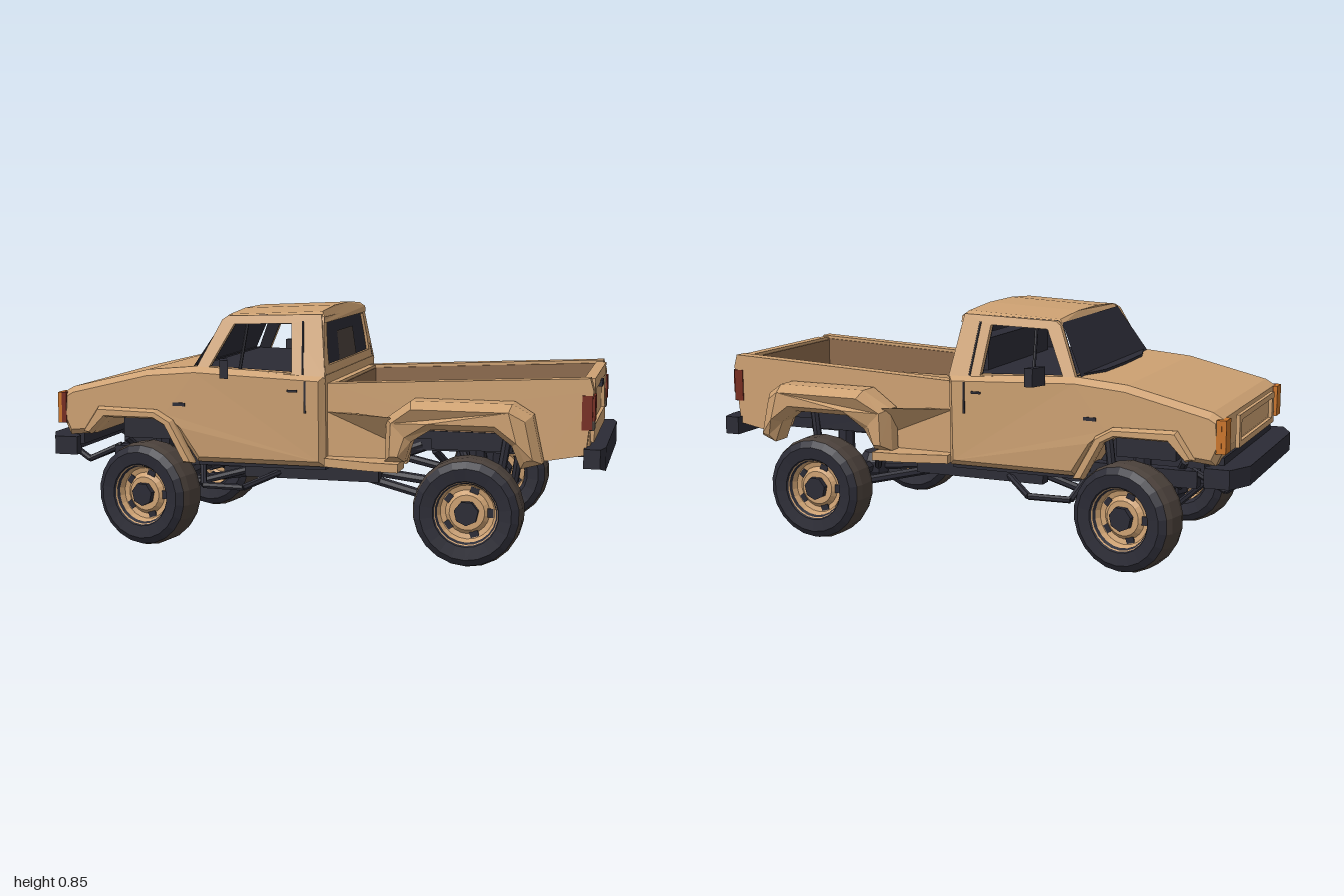
import * as THREE from 'three';

const mat = (name, color, side = THREE.FrontSide) =>
  Object.assign(new THREE.MeshStandardMaterial({ color, flatShading: true, side }), { name });
const V = (p) => new THREE.Vector3(...p);

export function createModel() {
  const truck = new THREE.Group();
  truck.name = 'pickupTruck';
  const tan = mat('tan paint', 0xcda172, THREE.DoubleSide);
  const dark = mat('dark trim', 0x2b2b35, THREE.DoubleSide);
  const brown = mat('bed brown', 0x8c6a4c);
  const tread = mat('tread brown', 0x4b413b, THREE.DoubleSide);
  const red = mat('lamp red', 0x762c20);
  const grey = mat('lamp grey', 0x6c625a);
  const orange = mat('marker orange', 0xc8742a);

  const add = (name, geo, material, parent = truck) => {
    const m = Object.assign(new THREE.Mesh(geo, material), { name });
    parent.add(m);
    return m;
  };
  const warpBy = (geo, fn) => {
    const p = geo.attributes.position;
    for (let i = 0; i < p.count; i++) {
      const v = new THREE.Vector3().fromBufferAttribute(p, i);
      fn(v);
      p.setXYZ(i, v.x, v.y, v.z);
    }
    return geo;
  };
  const outline = (pts) => pts.map(([a, b]) => new THREE.Vector2(a, b));
  // Extrusion of an outline from depth a to depth b, with optional hole and chamfer
  const prism = (pts, a, b, { hole, bevel = 0, thick = bevel } = {}) => {
    const s = new THREE.Shape(outline(pts));
    if (hole) s.holes.push(new THREE.Path(outline(hole)));
    return new THREE.ExtrudeGeometry(s, { depth: b - a - 2 * thick, bevelEnabled: bevel > 0, bevelSize: bevel,
      bevelThickness: thick, bevelOffset: -bevel, bevelSegments: 1 }).translate(0, 0, a + thick);
  };
  // Outline in x,z raised from y0 to y1
  const slab = (pts, y0, y1) => prism(pts, 0, y1 - y0).rotateX(Math.PI / 2).translate(0, y1, 0);
  // Outline in z,y run along x
  const across = (pts, x0, x1, o) => prism(pts.map(([z, y]) => [-z, y]), x0, x1, o).rotateY(Math.PI / 2);
  const box = (name, m, x0, x1, y0, y1, z0, z1) => add(name, new THREE.BoxGeometry(x1 - x0, y1 - y0, z1 - z0)
    .translate((x0 + x1) / 2, (y0 + y1) / 2, (z0 + z1) / 2), m);
  const rod = (name, a, b, r, parent = truck) => {
    const A = V(a), B = V(b), d = B.clone().sub(A);
    const mesh = add(name, new THREE.CylinderGeometry(r, r, d.length(), 7), dark, parent);
    mesh.position.copy(A).add(B).multiplyScalar(0.5);
    mesh.quaternion.setFromUnitVectors(new THREE.Vector3(0, 1, 0), d.normalize());
  };
  const quad = (name, c, m) => {
    const g = new THREE.BufferGeometry().setFromPoints([0, 1, 2, 0, 2, 3].map((i) => V(c[i])));
    g.computeVertexNormals();
    add(name, g, m);
  };
  // Range z0..z1 on either side of the truck
  const span = (s, a, b) => (s > 0 ? [a, b] : [-b, -a]);

  // Hood, front fenders and lower cab
  add('lowerBody', warpBy(prism([[-0.915, 0.39], [-0.942, 0.45], [-0.935, 0.555], [-0.9, 0.575], [-0.6, 0.634],
    [-0.42, 0.65], [0.05, 0.63], [0.05, 0.31], [-0.42, 0.31], [-0.49, 0.42], [-0.54, 0.46], [-0.74, 0.46],
    [-0.8, 0.4]], -0.393, 0.393, { bevel: 0.02, thick: 0.025 }), (v) => {
    if (v.y < 0.36) v.z *= 0.975;
    if (v.x < -0.88 && Math.abs(v.z) > 0.36) { v.x += 0.012; v.y -= v.y > 0.54 ? 0.01 : 0; }
  }), tan);
  add('grilleFrame', across([[-0.25, 0.43], [0.25, 0.43], [0.25, 0.54], [-0.25, 0.54]], -0.948, -0.935,
    { hole: [[0.22, 0.45], [-0.22, 0.45], [-0.22, 0.52], [0.22, 0.52]] }), tan);
  add('cowl', slab([[-0.42, -0.36], [-0.465, -0.2], [-0.47, 0], [-0.465, 0.2], [-0.42, 0.36]], 0.644, 0.655), dark);

  // Cab shell with a dark cabin
  const lean = (v) => { v.x -= Math.max(0, v.y - 0.62) * 0.12; };
  for (const [name, m, x0, x1] of [['rearCabWall', tan, 0.02, 0.05], ['rearCabLining', dark, 0.012, 0.019]])
    add(name, warpBy(across([[-0.37, 0.6], [0.37, 0.6], [0.365, 0.64], [0.297, 0.825], [-0.297, 0.825],
      [-0.365, 0.64]], x0, x1, { hole: [[-0.3, 0.66], [-0.292, 0.72], [-0.268, 0.8], [-0.24, 0.818], [0.24, 0.818],
      [0.268, 0.8], [0.292, 0.72], [0.3, 0.66]] }), lean), m);
  const pane = (name, m, o, z0, z1, y0, y1) => quad(name, [[y0, z0], [y0, -z0], [y1, -z1], [y1, z1]]
    .map(([y, z]) => [0.04 - (y - 0.62) * 0.12 + o, y, z]), m);
  pane('rearWindow', dark, 0, 0.305, 0.272, 0.655, 0.822);
  pane('rearWindowTint', tread, 0.003, 0.125, 0.115, 0.66, 0.765);
  quad('windscreen', [[-0.435, 0.645, -0.36], [-0.435, 0.645, 0.36], [-0.337, 0.818, 0.285],
    [-0.337, 0.818, -0.285]], dark);
  add('roof', warpBy(across([[-0.308, 0.805], [0.308, 0.805], [0.3, 0.828], [0.272, 0.844], [0.1, 0.856],
    [-0.1, 0.856], [-0.272, 0.844], [-0.3, 0.828]], -0.34, 0.03), (v) => {
    if (v.x < -0.3) { v.y -= v.y > 0.82 ? 0.016 : 0; v.x += v.y > 0.82 ? 0.015 : 0; }
    else if (v.y > 0.84) v.x -= 0.015;
  }), tan);
  box('roofLining', dark, -0.32, 0.01, 0.799, 0.804, -0.298, 0.298);
  quad('cabinTray', [[-0.41, 0.653, 0.366], [0.03, 0.635, 0.366], [0.03, 0.635, -0.366], [-0.41, 0.653, -0.366]], dark);
  box('seatBack', dark, -0.06, 0.01, 0.63, 0.75, -0.28, 0.28);

  // Bed
  add('bedFloor', slab([[0.06, -0.29], [0.34, -0.29], [0.34, -0.25], [0.69, -0.25], [0.69, -0.29], [0.93, -0.29],
    [0.93, 0.29], [0.69, 0.29], [0.69, 0.25], [0.34, 0.25], [0.34, 0.29], [0.06, 0.29]], 0.435, 0.45), brown);
  box('bedUnderside', dark, 0.07, 0.92, 0.405, 0.434, -0.25, 0.25);
  box('bedFrontWall', tan, 0.05, 0.075, 0.38, 0.6, -0.33, 0.33);
  box('frontWallLining', brown, 0.074, 0.079, 0.44, 0.59, -0.285, 0.285);
  box('tailgate', tan, 0.92, 0.945, 0.4, 0.636, -0.29, 0.29);
  box('tailgateLining', brown, 0.914, 0.921, 0.44, 0.625, -0.285, 0.285);
  add('tailgateFrame', across([[-0.27, 0.42], [0.27, 0.42], [0.27, 0.636], [-0.27, 0.636]], 0.944, 0.957,
    { hole: [[-0.225, 0.475], [-0.205, 0.595], [0.205, 0.595], [0.225, 0.475]] }), tan);
  box('tailgateHandle', dark, 0.95, 0.965, 0.58, 0.603, -0.03, 0.03);

  // Bumpers
  add('rearBumper', warpBy(slab([[0.93, -0.365], [0.985, -0.365], [1, -0.3], [1, 0.3], [0.985, 0.365],
    [0.93, 0.365]], 0.33, 0.41), (v) => { if (v.y < 0.35 && Math.abs(v.z) > 0.35) v.y += 0.015; }), dark);
  add('frontBumper', slab([[-0.87, -0.395], [-0.955, -0.395], [-1, -0.3], [-1, 0.3], [-0.955, 0.395],
    [-0.87, 0.395], [-0.87, 0.36], [-0.92, 0.3], [-0.92, -0.3], [-0.87, -0.36]], 0.32, 0.385), dark);
  rod('pushBar', [-0.9, 0.275, -0.22], [-0.9, 0.275, 0.22], 0.012);
  box('frontValance', dark, -0.92, -0.87, 0.35, 0.41, -0.33, 0.33);

  // Parts found on both sides
  for (const s of [1, -1]) {
    const P = (x, y, z) => [x, y, z * s];
    for (const [name, m, z0, z1] of [['cabSide', tan, 0.357, 0.375], ['cabSideLining', dark, 0.35, 0.356]])
      add(name, warpBy(prism([[-0.425, 0.63], [-0.34, 0.812], [-0.32, 0.825], [0.045, 0.835], [0.05, 0.62]],
        ...span(s, z0, z1), { hole: [[-0.375, 0.642], [-0.295, 0.797], [-0.085, 0.802], [-0.07, 0.632]] }),
      (v) => { v.z -= s * Math.max(0, v.y - 0.63) * 0.35; if (v.x > 0) lean(v); }), m);
    rod('ventBar', P(-0.262, 0.635, 0.36), P(-0.25, 0.8, 0.302), 0.006);
    rod('doorSeam', P(-0.03, 0.63, 0.373), P(-0.045, 0.81, 0.311), 0.004);
    box('doorSeamLower', dark, -0.02, -0.014, 0.5, 0.61, ...span(s, 0.39, 0.395));
    box('doorHandle', dark, -0.08, -0.045, 0.572, 0.58, ...span(s, 0.388, 0.397));
    box('fenderTrim', dark, -0.5, -0.455, 0.51, 0.522, ...span(s, 0.39, 0.396));
    add('mirror', slab([[-0.32, 0.4 * s], [-0.295, 0.4 * s], [-0.27, 0.462 * s], [-0.3, 0.462 * s]], 0.62, 0.683), dark);
    rod('mirrorArm', P(-0.31, 0.61, 0.36), P(-0.3, 0.64, 0.42), 0.008);
    add('frontFlare', prism([[-0.84, 0.41], [-0.78, 0.5], [-0.56, 0.495], [-0.5, 0.46], [-0.42, 0.31], [-0.46, 0.31],
      [-0.53, 0.44], [-0.57, 0.462], [-0.75, 0.462], [-0.81, 0.4]], ...span(s, 0.36, 0.42), { bevel: 0.008, thick: 0.02 }), tan);
    box('frontMarker', orange, -0.94, -0.925, 0.435, 0.545, ...span(s, 0.335, 0.394));
    box('sideMarker', s > 0 ? red : orange, -0.925, -0.908, 0.435, 0.545, ...span(s, 0.335, 0.396));
    add('bedSide', prism([[0.05, 0.33], [0.05, 0.6], [0.945, 0.642], [0.957, 0.6], [0.935, 0.385], [0.8, 0.36],
      [0.74, 0.38], [0.69, 0.51], [0.36, 0.51], [0.33, 0.33]], ...span(s, 0.288, 0.337)), tan);
    add('bedSideLining', prism([[0.07, 0.44], [0.07, 0.59], [0.92, 0.63], [0.92, 0.44], [0.71, 0.44], [0.69, 0.51],
      [0.36, 0.51], [0.345, 0.44]], ...span(s, 0.282, 0.289)), brown);
    add('rearFender', warpBy(prism([[0.265, 0.345], [0.27, 0.495], [0.36, 0.56], [0.7, 0.56], [0.765, 0.52],
      [0.8, 0.36], [0.73, 0.345], [0.7, 0.42], [0.64, 0.465], [0.43, 0.465], [0.36, 0.42], [0.335, 0.345]],
    ...span(s, 0.3, 0.466), { bevel: 0.024, thick: 0.045 }), (v) => {
      if (Math.abs(v.z) > 0.41) v.z -= s * (v.x < 0.34 ? 0.03 : v.x > 0.74 ? 0.025 : 0);
    }), tan);
    add('sideStep', slab([[0.05, 0.33 * s], [0.05, 0.385 * s], [0.22, 0.43 * s], [0.32, 0.44 * s], [0.32, 0.33 * s]],
      0.315, 0.345), tan);
    quad('stepFairing', [P(0.05, 0.5, 0.338), P(0.29, 0.4, 0.338), P(0.29, 0.5, 0.42), P(0.16, 0.5, 0.35)], tan);
    box('tailLamp', red, 0.915, 0.963, 0.5, 0.585, ...span(s, 0.272, 0.334));
    box('reverseLamp', grey, 0.915, 0.96, 0.468, 0.5, ...span(s, 0.272, 0.334));
    box('tailLampSide', red, 0.92, 0.955, 0.47, 0.585, ...span(s, 0.334, 0.341));

    // Frame and suspension
    box('frameRail', dark, -0.8, 0.22, 0.27, 0.33, ...span(s, 0.17, 0.22));
    box('rearFrameRail', dark, 0.3, 0.93, 0.36, 0.41, ...span(s, 0.17, 0.22));
    rod('frameKick', P(0.12, 0.29, 0.195), P(0.36, 0.38, 0.195), 0.03);
    box('sillRail', dark, -0.27, 0.22, 0.25, 0.312, ...span(s, 0.24, 0.29));
    rod('trailingArm', P(0.1, 0.275, 0.24), P(0.54, 0.17, 0.27), 0.016);
    rod('leadingArm', P(-0.25, 0.27, 0.22), P(-0.58, 0.18, 0.24), 0.014);
    for (const x of [-0.605, 0.555]) {
      rod('coilSpring', P(x, 0.2, 0.21), P(x, 0.42, 0.21), 0.032);
      rod('shock', P(x + 0.07, 0.17, 0.27), P(x + 0.11, 0.43, 0.25), 0.016);
      rod('brace', P(x - 0.05, 0.2, 0.06), P(x - 0.15, 0.36, 0.21), 0.014);
    }
    box('innerArch', dark, -0.74, -0.53, 0.37, 0.458, ...span(s, 0.12, 0.27));
    box('rearSpringTower', dark, 0.4, 0.68, 0.37, 0.43, ...span(s, 0.22, 0.25));
    rod('sidePipe', P(-0.4, 0.225, 0.36), P(-0.25, 0.225, 0.37), 0.012);
    rod('sidePipeFront', P(-0.43, 0.29, 0.28), P(-0.4, 0.225, 0.36), 0.012);
    rod('sidePipeRear', P(-0.25, 0.225, 0.37), P(-0.14, 0.27, 0.28), 0.012);
    rod('pushBarArm', P(-0.98, 0.33, 0.22), P(-0.9, 0.275, 0.22), 0.012);
    rod('pushBarStay', P(-0.9, 0.275, 0.22), P(-0.78, 0.33, 0.2), 0.012);
  }
  // Drivetrain
  box('floorPan', dark, -0.42, 0.045, 0.297, 0.309, -0.35, 0.35);
  box('engineBlock', dark, -0.8, -0.4, 0.27, 0.455, -0.13, 0.13);
  box('gearbox', dark, -0.42, -0.05, 0.22, 0.3, -0.08, 0.08);
  box('fuelTank', dark, 0.06, 0.24, 0.28, 0.41, -0.16, 0.02);
  rod('rearDriveshaft', [-0.08, 0.26, 0], [0.52, 0.19, 0], 0.018);
  rod('frontDriveshaft', [-0.12, 0.25, 0.06], [-0.58, 0.19, 0.12], 0.015);
  rod('tieRod', [-0.7, 0.18, -0.3], [-0.7, 0.18, 0.3], 0.012);
  for (const [x, z] of [[-0.605, 0.12], [0.555, 0]]) {
    rod('axle', [x, 0.19, -0.32], [x, 0.19, 0.32], 0.026);
    add('differential', new THREE.SphereGeometry(0.066, 8, 5), dark).position.set(x, 0.19, z);
  }
  // Wheels, with the axle along local z
  const lathe = (pts) => new THREE.LatheGeometry(outline(pts), 22).rotateX(Math.PI / 2);
  const sidewall = lathe([[0.1, 0.045], [0.112, 0.066], [0.155, 0.072], [0.178, 0.056]]);
  const crown = lathe([[0.178, 0.056], [0.186, 0.03], [0.186, -0.03], [0.178, -0.056]]);
  const rim = lathe([[0.035, 0.035], [0.06, 0.035], [0.075, 0.02], [0.092, 0.025], [0.108, 0.06]]);
  const barrel = lathe([[0.1, -0.06], [0.092, 0.02]]);
  const slot = new THREE.BoxGeometry(0.02, 0.03, 0.008).translate(0.078, 0, 0.022);
  for (const [x, z, steer, name] of [[-0.605, 0.36, -0.2, 'frontWheel'], [0.555, 0.392, 0, 'rearWheel']])
    for (const s of [1, -1]) {
      const w = Object.assign(new THREE.Group(), { name });
      w.position.set(x, 0.19, z * s);
      w.rotation.y = steer + (s < 0 ? Math.PI : 0);
      truck.add(w);
      add('outerSidewall', sidewall, dark, w);
      add('innerSidewall', sidewall, dark, w).rotation.y = Math.PI;
      add('tread', crown, tread, w);
      add('rim', rim, tan, w);
      add('rimBarrel', barrel, tan, w);
      rod('hub', [0, 0, -0.05], [0, 0, 0.055], 0.042, w);
      for (let i = 0; i < 5; i++) add('rimSlot', slot, dark, w).rotation.z = (i / 5) * Math.PI * 2;
    }
  return truck;
}
